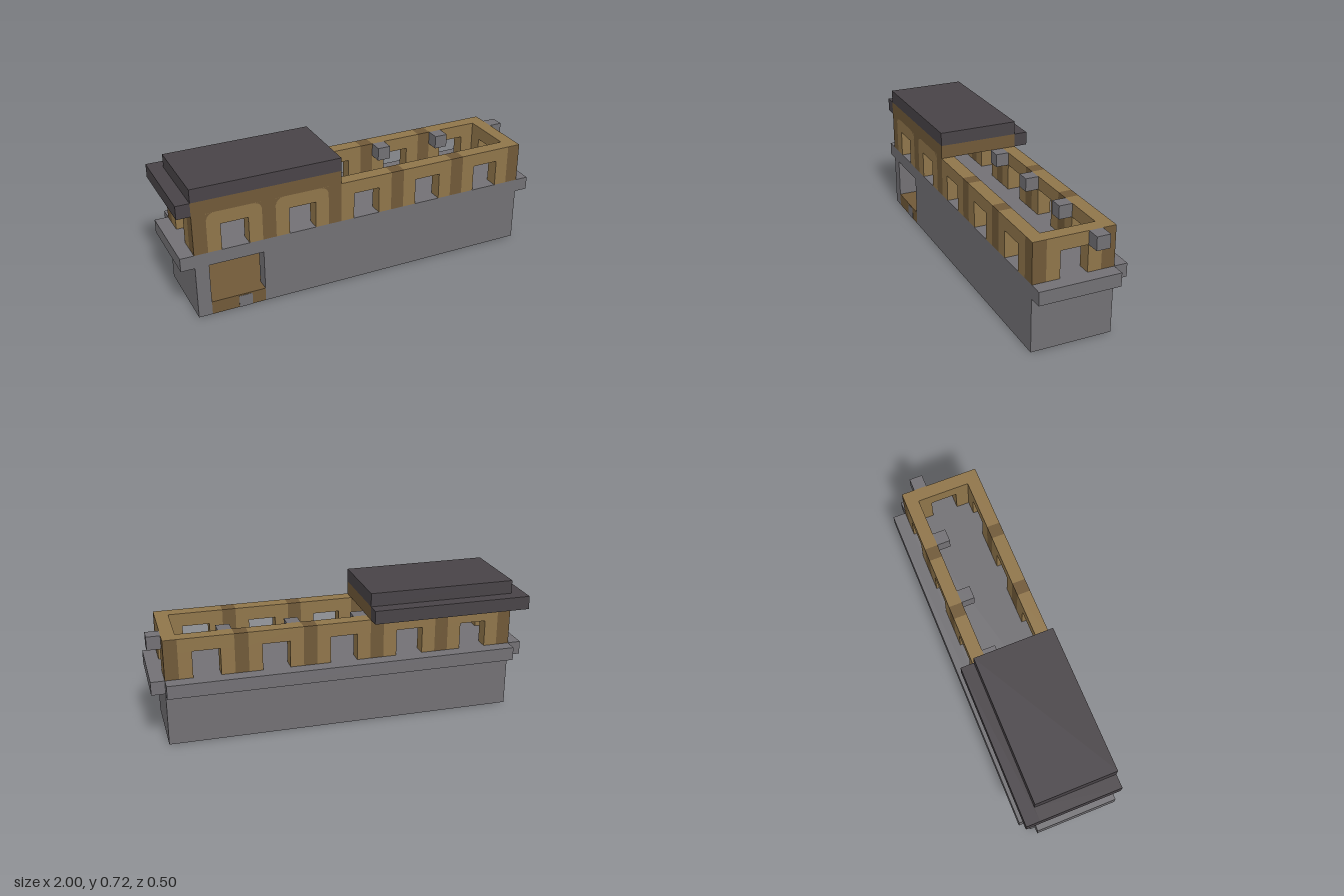
import * as THREE from 'three';

const U = 1 / 14; // one building block

export function createModel() {
  const model = new THREE.Group();
  model.name = 'blockBuilding';
  const mat = (name, color) => new THREE.MeshStandardMaterial({ name, color });
  const stone = mat('stone', 0x727074);
  const slate = mat('slate', 0x484347);
  const plank = mat('plank', 0x8f754a);
  const timber = mat('timber', 0x705938);

  // Box given by its limits in blocks
  const box = (name, material, x0, x1, y0, y1, z0, z1) => {
    const mesh = new THREE.Mesh(
      new THREE.BoxGeometry((x1 - x0) * U, (y1 - y0) * U, (z1 - z0) * U), material);
    mesh.position.set((x0 + x1) / 2 * U, (y0 + y1) / 2 * U, (z0 + z1) / 2 * U);
    mesh.name = name;
    model.add(mesh);
  };

  // Base floor: timber slab with rounded corners, set in a stone ring open at the doorway
  const outline = (Kind) => {
    const p = new Kind();
    const r = 0.7;
    p.moveTo(-12, -3.5).lineTo(-8, -3.5).lineTo(-8, -2.5).lineTo(12 - r, -2.5);
    p.quadraticCurveTo(12, -2.5, 12, -2.5 + r).lineTo(12, 1.5 - r);
    p.quadraticCurveTo(12, 1.5, 12 - r, 1.5).lineTo(-12 + r, 1.5);
    p.quadraticCurveTo(-12, 1.5, -12, 1.5 - r).lineTo(-12, -3.5);
    return p;
  };
  const slab = (name, material, shape, y0, y1) => {
    const geo = new THREE.ExtrudeGeometry(shape, { depth: y1 - y0, bevelEnabled: false, curveSegments: 6 });
    geo.rotateX(-Math.PI / 2).translate(0, y0, 0).scale(U, U, U);
    const mesh = new THREE.Mesh(geo, material);
    mesh.name = name;
    model.add(mesh);
  };
  // Ring follows the slab edge and runs out to the front at the doorway
  const ring = new THREE.Shape();
  ring.moveTo(-13, -3.5).lineTo(-12, -3.5);
  const edge = outline(THREE.Path).getPoints(6).slice(0, -1);
  edge.slice(1).reverse().forEach((p) => ring.lineTo(p.x, p.y));
  ring.lineTo(13, -3.5).lineTo(13, 2.5).lineTo(-13, 2.5).lineTo(-13, -3.5);
  slab('baseRing', stone, ring, 0, 1);
  slab('baseFloor', timber, outline(THREE.Shape), 0, 1);
  // Stone inlay in the door sill, on its front and underside
  box('sillInlay', stone, -10, -9, -0.01, 0.9, 2.5, 3.52);

  // Hollow lower storey with a doorway at the front
  box('lowerFrontCorner', stone, -13, -12, 1, 4, 2.5, 3.5);
  box('lowerFrontWall', stone, -8, 13, 1, 4, 2.5, 3.5);
  box('lowerBackWall', stone, -13, 13, 1, 4, -2.5, -1.5);
  box('lowerRightWall', stone, -13, -12, 1, 4, -1.5, 2.5);
  box('lowerLeftWall', stone, 12, 13, 1, 4, -1.5, 2.5);

  // Upper floor and the ledges around three sides
  box('upperFloor', stone, -13, 13, 4, 5, -2.5, 3.5);
  box('backLedge', stone, -13, 13, 4, 5, -3.5, -2.5);
  for (const x of [-14, 13]) box('endLedge', stone, x, x + 1, 4, 5, -2.5, 3.5);

  // Upper long walls: timber posts between plank bays with windows
  for (const z of [-2.5, 2.5]) {
    for (let x = -13; x <= 12; x += 5) {
      box('post', timber, x, x + 1, 5, x === 12 ? 7.97 : 8, z, z + 1);
      if (x === 12) {
        box('postCap', plank, 12, 13, 7.97, 8, z, z + 1);
        continue;
      }
      box('bayPier', plank, x + 1, x + 2, 5, 7, z, z + 1);
      box('bayPier', plank, x + 4, x + 5, 5, 7, z, z + 1);
      box('bayLintel', plank, x + 1, x + 5, 7, 8, z, z + 1);
    }
  }
  // Upper end walls
  for (const x of [-13, 12]) {
    box('endPier', plank, x, x + 1, 5, 7, -1.5, -0.5);
    box('endPier', plank, x, x + 1, 5, 7, 1.5, 2.5);
    box('endLintel', plank, x, x + 1, 7, 8, -1.5, 2.5);
  }

  // Curved timber brackets painted at the top of the roofed front bays
  for (const [x, dir] of [[-12, 1], [-8, -1], [-7, 1], [-3, -1]]) {
    const s = new THREE.Shape();
    s.moveTo(0, 0).lineTo(dir * 0.7, 0);
    s.quadraticCurveTo(0, 0, 0, -0.7);
    const bracket = new THREE.Mesh(new THREE.ShapeGeometry(s, 6), timber);
    bracket.scale.setScalar(U);
    bracket.position.set(x * U, 8 * U, 3.52 * U);
    bracket.name = 'bayBracket';
    model.add(bracket);
  }

  // Lamp blocks inside the back wall and outside the end wall
  for (let x = -12; x <= 8; x += 5) box('lampBlock', stone, x, x + 1, 7, 8, -1.5, -0.5);
  box('endLampBlock', stone, 13, 14, 7, 8, -1.5, -0.5);

  // Roof over one end, with eaves at the back and side
  box('roofBeam', timber, -13, -2, 8, 9, -2.5, 3.5);
  box('roofTop', slate, -13, -2, 9, 10, -2.5, 3.5);
  box('backEave', slate, -14, -2, 8, 9, -3.5, -2.5);
  box('sideEave', slate, -14, -13, 8, 9, -2.5, 3.5);

  return model;
}
